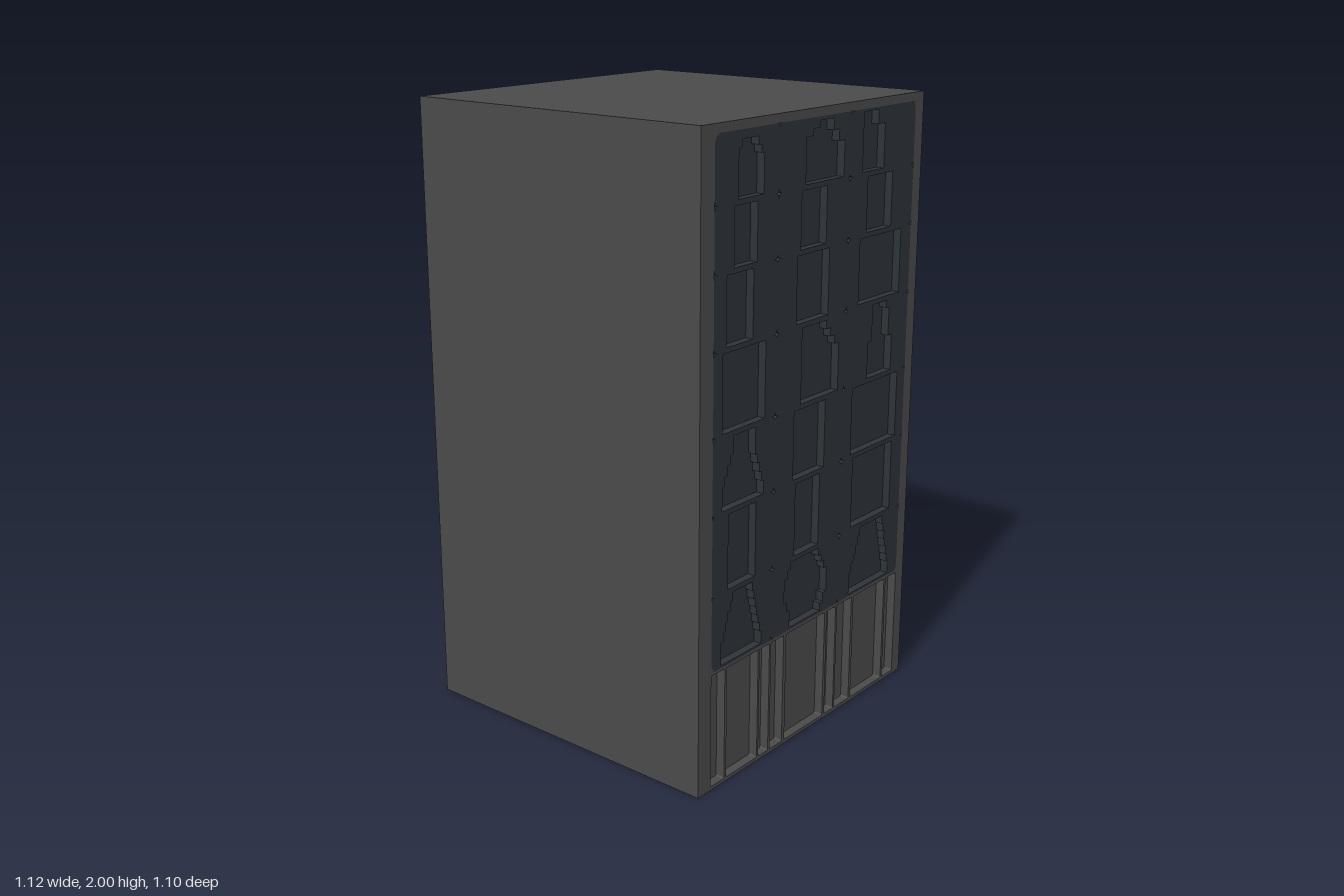
import * as THREE from 'three';

const X0 = -0.56, X1 = 0.555, Z0 = -0.55, Z1 = 0.55, DEPTH = 0.03, SKIN = 0.004;
const body = new THREE.MeshStandardMaterial({ name: 'charcoal body', color: 0x4a4a4a });
const panel = new THREE.MeshStandardMaterial({ name: 'grey side panel', color: 0x6c6c6c });
const glass = new THREE.MeshStandardMaterial({ name: 'dark display', color: 0x2e343a });

// Rows shared by the display and the side panels, and display columns
const rows = [0.39, 0.625, 0.877, 1.112, 1.364, 1.586, 1.775, 1.973];
const cols = [-0.5, -0.206, 0.154, 0.51];

// Rectangle outline with small chamfered-round corners
function rounded(x0, y0, x1, y1, r, Type = THREE.Shape) {
  const s = new Type();
  s.moveTo(x0 + r, y0);
  s.lineTo(x1 - r, y0).quadraticCurveTo(x1, y0, x1, y0 + r);
  s.lineTo(x1, y1 - r).quadraticCurveTo(x1, y1, x1 - r, y1);
  s.lineTo(x0 + r, y1).quadraticCurveTo(x0, y1, x0, y1 - r);
  s.lineTo(x0, y0 + r).quadraticCurveTo(x0, y0, x0 + r, y0);
  return s;
}

function slab(shape, depth) {
  return new THREE.ExtrudeGeometry(shape, { depth, bevelEnabled: false, curveSegments: 3 });
}

function add(group, name, geometry, material) {
  const mesh = new THREE.Mesh(geometry, material);
  mesh.name = name;
  group.add(mesh);
  return mesh;
}

// Replaces each slanted edge of an outline with a small staircase
function stepped(points) {
  const out = [];
  points.forEach(([ax, ay], i) => {
    const [bx, by] = points[(i + 1) % points.length];
    out.push(new THREE.Vector2(ax, ay));
    if (Math.abs(ax - bx) < 1e-6 || Math.abs(ay - by) < 1e-6) return;
    const n = Math.max(1, Math.round(Math.max(Math.abs(bx - ax), Math.abs(by - ay)) / 0.03));
    for (let k = 0; k < n; k++) {
      const x = ax + (bx - ax) * (k + 1) / n;
      out.push(new THREE.Vector2(x, ay + (by - ay) * k / n));
      if (k < n - 1) out.push(new THREE.Vector2(x, ay + (by - ay) * (k + 1) / n));
    }
  });
  return out;
}

const rect = (a, b) => [[a, 0], [b, 0], [b, 1], [a, 1]];

// Silhouettes per row from the bottom: x position, fraction of the row height
const niches = [
  [
    [[-0.455, 0], [-0.257, 0], [-0.257, 0.2], [-0.305, 1], [-0.39, 1], [-0.455, 0.2]],
    [[-0.11, 0], [0.055, 0], [0.055, 0.12], [0.088, 0.4], [0.088, 0.65], [0.04, 1], [-0.09, 1], [-0.14, 0.65], [-0.14, 0.4], [-0.11, 0.12]],
    [[0.22, 0], [0.453, 0], [0.453, 0.2], [0.41, 1], [0.29, 1], [0.22, 0.2]],
  ],
  [rect(-0.425, -0.293), rect(-0.093, 0.035), rect(0.22, 0.448)],
  [
    [[-0.455, 0], [-0.257, 0], [-0.257, 0.2], [-0.3, 0.75], [-0.3, 1], [-0.405, 1], [-0.405, 0.75], [-0.455, 0.2]],
    rect(-0.108, 0.055), rect(0.204, 0.464),
  ],
  [
    rect(-0.457, -0.257),
    [[-0.076, 0], [0.119, 0], [0.119, 0.65], [0.05, 1], [-0.076, 1]],
    [[0.284, 0], [0.421, 0], [0.421, 0.5], [0.4, 0.5], [0.4, 0.9], [0.383, 1], [0.327, 1], [0.305, 0.9], [0.305, 0.5], [0.284, 0.5]],
  ],
  [rect(-0.442, -0.32), rect(-0.108, 0.055), rect(0.22, 0.452)],
  [rect(-0.41, -0.305), rect(-0.093, 0.035), rect(0.252, 0.39)],
  [
    [[-0.394, 0], [-0.278, 0], [-0.278, 0.64], [-0.305, 0.9], [-0.368, 0.9], [-0.394, 0.64]],
    [[-0.076, 0], [0.119, 0], [0.119, 0.6], [0.06, 0.98], [0.025, 0.98], [-0.076, 0.64]],
    [[0.22, 0], [0.337, 0], [0.337, 0.76], [0.3, 1], [0.26, 1], [0.22, 0.76]],
  ],
];

// Front frame with a display opening and upright base panels
function buildFront(group) {
  const frame = new THREE.Shape([[X0, 0], [X1, 0], [X1, 2], [X0, 2]].map(p => new THREE.Vector2(...p)));
  frame.holes.push(rounded(cols[0], rows[0], cols[3], rows[7], 0.03, THREE.Path));
  const base = [[-0.5, -0.435], [-0.425, -0.27], [-0.262, -0.212], [-0.203, -0.138], [-0.124, 0.086],
    [0.098, 0.148], [0.157, 0.24], [0.252, 0.437], [0.447, 0.51]];
  for (const [a, b] of base) frame.holes.push(rounded(a, 0.012, b, 0.38, 0.006, THREE.Path));
  add(group, 'frontFrame', slab(frame, DEPTH), body).position.z = Z1 - DEPTH;

  // Display cells, each with a sunken silhouette
  const display = new THREE.Group();
  display.name = 'display';
  niches.forEach((row, r) => row.forEach((outline, c) => {
    const lo = rows[r] + 0.008, hi = rows[r + 1] - 0.008;
    const points = stepped(outline.map(([x, f]) => [x, lo + f * (hi - lo)]));
    const cell = rounded(cols[c], rows[r], cols[c + 1], rows[r + 1], 0.014);
    cell.holes.push(new THREE.Path(points));
    add(display, 'displayCell', slab(cell, DEPTH), glass).position.z = Z1 - DEPTH;
    add(display, 'nicheBack', slab(new THREE.Shape(points), SKIN), glass).position.z = Z1 - DEPTH;
  }));
  group.add(display);
}

// Left side with eight sunken horizontal panels
function buildSide(group) {
  const u0 = -0.51, u1 = 0.505;
  const frame = new THREE.Shape([[-Z1 + DEPTH, 0], [-Z0, 0], [-Z0, 2], [-Z1 + DEPTH, 2]].map(p => new THREE.Vector2(...p)));
  const edges = [0.006, ...rows];
  for (let i = 0; i < edges.length - 1; i++) {
    const box = [u0, edges[i] + 0.006, u1, edges[i + 1] - 0.006, 0.012];
    frame.holes.push(rounded(...box, THREE.Path));
    const plate = add(group, 'sidePanel', slab(rounded(...box), SKIN), panel);
    plate.rotation.y = Math.PI / 2;
    plate.position.x = X1 - DEPTH;
  }
  const mesh = add(group, 'sideFrame', slab(frame, DEPTH), body);
  mesh.rotation.y = Math.PI / 2;
  mesh.position.x = X1 - DEPTH;
}

export function createModel() {
  const group = new THREE.Group();
  group.name = 'displayCabinet';

  // Solid core behind the front and side frames
  const w = X1 - DEPTH - X0, d = Z1 - DEPTH - Z0;
  add(group, 'cabinetCore', new THREE.BoxGeometry(w, 2, d), body)
    .position.set(X0 + w / 2, 1, Z0 + d / 2);

  buildFront(group);
  buildSide(group);
  return group;
}
